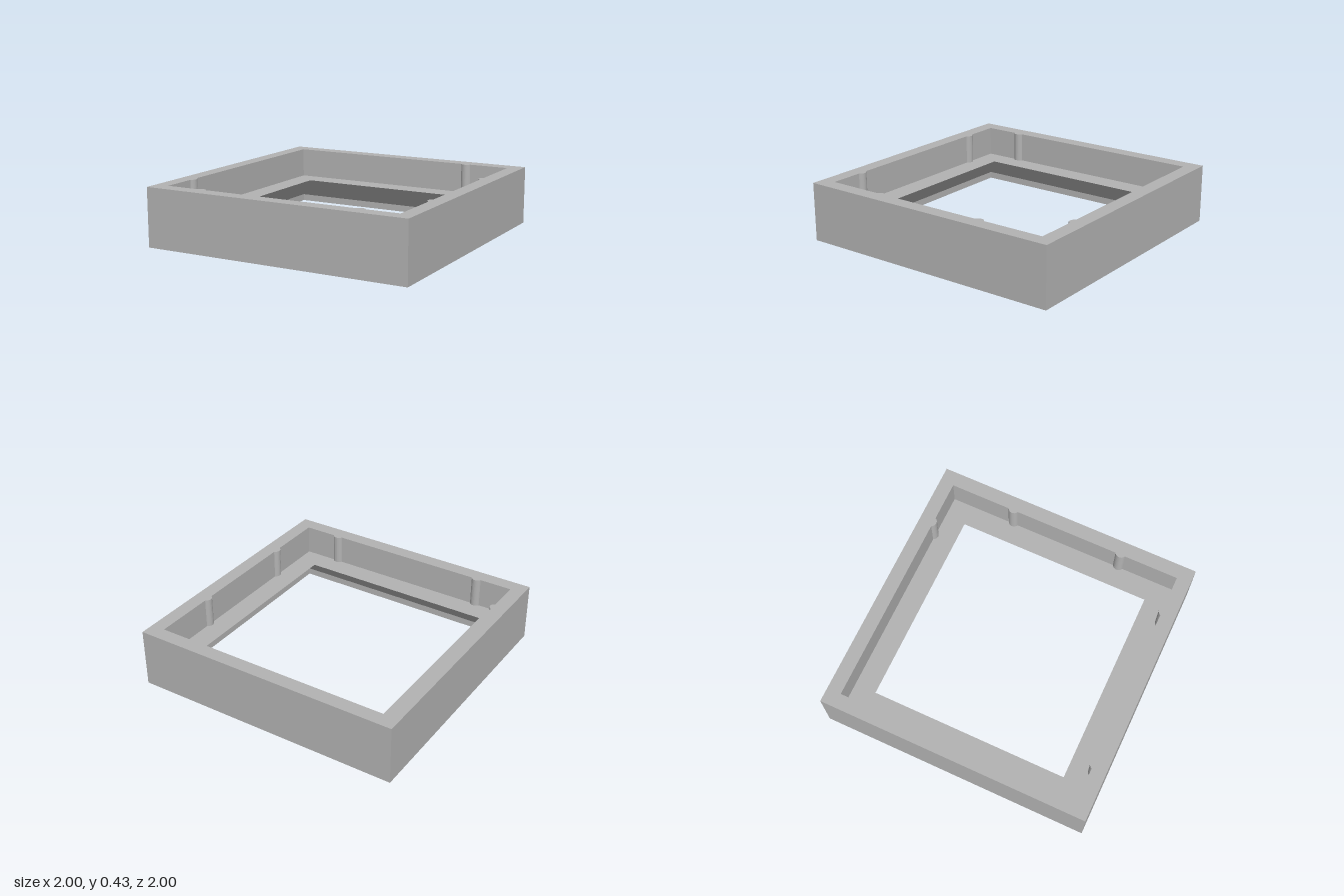
import * as THREE from 'three';

const HEIGHT = 0.43, LEDGE = 0.21, WALL = 0.895, LIP = 0.735;

const grey = new THREE.MeshStandardMaterial({ color: 0xb2b2b2 });
grey.name = 'grey';

// Square ring: a closed wall section turned through four flat sides
function ringGeometry(section) {
  const points = section.map(([half, y]) => new THREE.Vector2(half * Math.SQRT2, y));
  const geometry = new THREE.LatheGeometry(points, 4, Math.PI / 4).toNonIndexed();
  geometry.computeVertexNormals();
  return geometry;
}

// Shallow rounded rib, bulging towards -z from the plane z = 0
function ribGeometry() {
  const radius = 0.04, depth = 0.024;
  const end = Math.asin((radius - depth) / radius);
  const shape = new THREE.Shape();
  shape.absarc(0, depth - radius, radius, end, Math.PI - end, false);
  const geometry = new THREE.ExtrudeGeometry(shape, {
    depth: HEIGHT - LEDGE, bevelEnabled: false, curveSegments: 8,
  });
  return geometry.rotateX(-Math.PI / 2);
}

export function createModel() {
  const model = new THREE.Group();
  model.name = 'squareFrame';

  // Outer wall, top rim, inner wall, ledge, sloped underside and foot
  const frame = new THREE.Mesh(ringGeometry([
    [1, 0], [1, HEIGHT], [WALL, HEIGHT], [WALL, LEDGE],
    [LIP, LEDGE], [WALL, 0.05], [WALL, 0], [1, 0],
  ]), grey);
  frame.name = 'frame';
  model.add(frame);

  // Ribs: wall name, turn about y, offsets along that wall
  const walls = [
    ['front', 0, [-0.615, 0.615]],
    ['left', Math.PI / 2, [0.404, -0.452]],
    ['back', Math.PI, [-0.56]],
    ['right', -Math.PI / 2, [0.61]],
  ];
  const rib = ribGeometry();
  for (const [name, turn, offsets] of walls) {
    const side = new THREE.Group();
    side.name = name + 'WallRibs';
    side.rotation.y = turn;
    for (const offset of offsets) {
      const mesh = new THREE.Mesh(rib, grey);
      mesh.name = 'rib';
      mesh.position.set(offset, LEDGE, WALL);
      side.add(mesh);
    }
    model.add(side);
  }
  return model;
}
